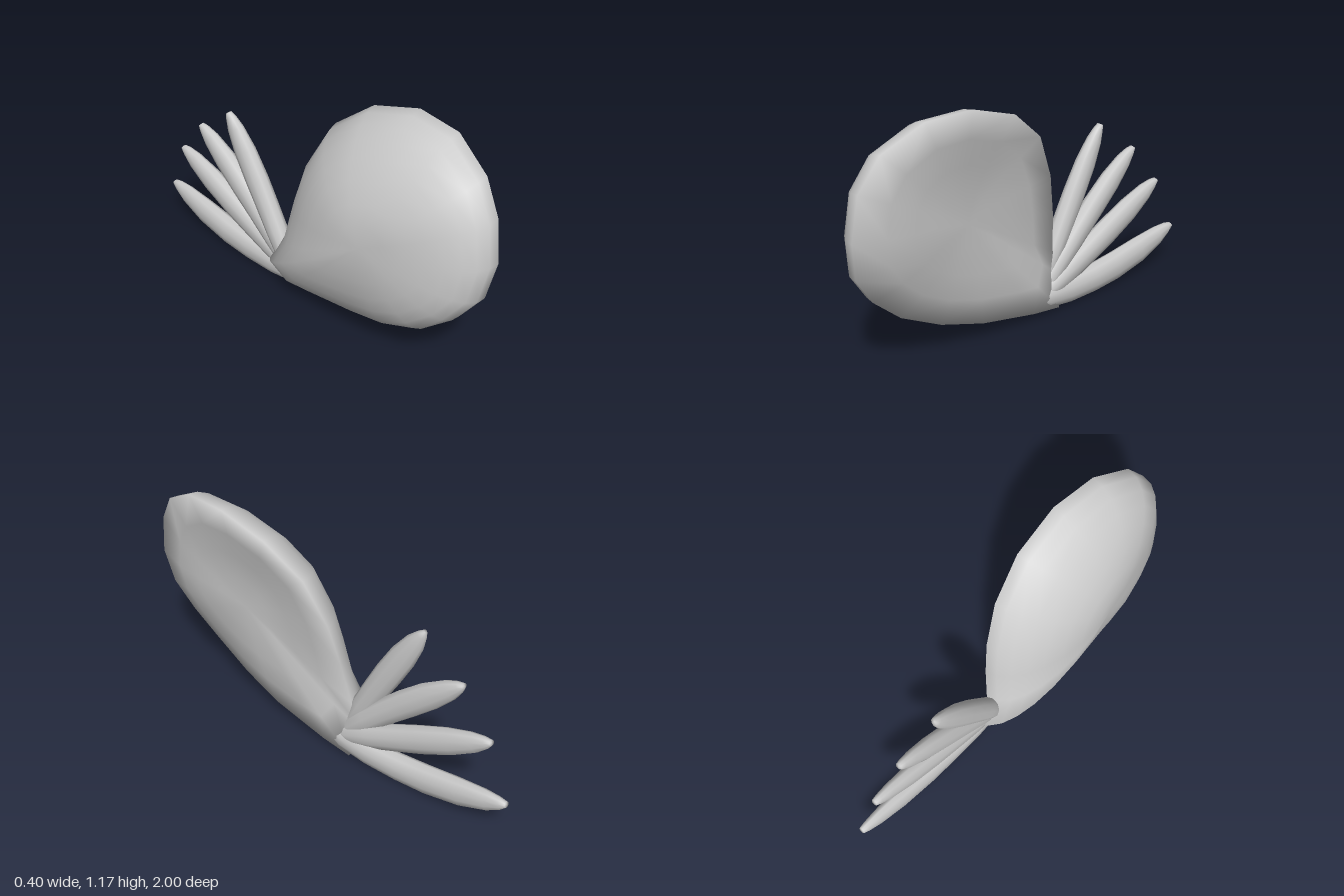
import * as THREE from 'three';

// Smooth closed skin over a list of equal-length rings, with a pole at each end.
function loft(name, rings) {
  const n = rings[0].length, pos = [], idx = [];
  rings.forEach(r => r.forEach(p => pos.push(p.x, p.y, p.z)));
  for (let i = 0; i < rings.length - 1; i++) {
    for (let j = 0; j < n; j++) {
      const a = i * n + j, b = i * n + (j + 1) % n;
      idx.push(a, b, b + n, a, b + n, a + n);
    }
  }
  [0, rings.length - 1].forEach((k, end) => {
    const c = new THREE.Vector3();
    rings[k].forEach(p => c.addScaledVector(p, 1 / n));
    const pole = pos.length / 3;
    pos.push(c.x, c.y, c.z);
    for (let j = 0; j < n; j++) {
      const a = k * n + j, b = k * n + (j + 1) % n;
      if (end) idx.push(a, b, pole); else idx.push(b, a, pole);
    }
  });
  // Turn the faces outward when the enclosed volume is negative
  let volume = 0;
  const at = i => new THREE.Vector3().fromArray(pos, i * 3);
  for (let i = 0; i < idx.length; i += 3) volume += at(idx[i]).dot(at(idx[i + 1]).cross(at(idx[i + 2])));
  if (volume < 0) idx.reverse();
  const geo = new THREE.BufferGeometry();
  geo.setAttribute('position', new THREE.Float32BufferAttribute(pos, 3));
  geo.setIndex(idx);
  geo.computeVertexNormals();
  const mesh = new THREE.Mesh(geo, new THREE.MeshStandardMaterial({ color: 0xcccccc }));
  mesh.name = name;
  return mesh;
}

// Teardrop pad: a cupped rim, domed deeply on the outside and gently on the inside
function makePad() {
  const rim = [ // x, y, z
    [0.085, 0.31, -0.15], [0.115, 0.53, -0.11], [0.14, 0.73, -0.06], [0.17, 0.95, 0.05],
    [0.19, 1.1, 0.24], [0.175, 1.175, 0.48], [0.125, 1.165, 0.7], [0.055, 1.06, 0.88],
    [0.015, 0.91, 0.97], [0, 0.71, 1], [-0.025, 0.53, 0.97], [-0.04, 0.39, 0.87],
    [-0.04, 0.26, 0.72], [0, 0.16, 0.52], [0.05, 0.095, 0.3], [0.1, 0.04, 0],
    [0.12, 0.02, -0.16], [0.08, 0.14, -0.24],
  ];
  const centre = [0.05, 0.66, 0.45];
  const ring = (r, depth) => {
    const lift = depth * Math.sqrt(1 - Math.pow(r, 2.2));
    return rim.map(p => new THREE.Vector3(
      centre[0] + (p[0] - centre[0]) * r * r + lift,
      centre[1] + (p[1] - centre[1]) * r,
      centre[2] + (p[2] - centre[2]) * r));
  };
  const outer = [0.2, 0.38, 0.56, 0.71, 0.83, 0.92, 0.98, 1].map(r => ring(r, -0.25));
  const inner = [0.74, 0.5, 0.25].map(r => ring(r, 0.045));
  const pad = loft('teardropPad', [...outer, ...inner]);
  // Shade the rim as a soft rounded edge
  const n = rim.length, first = (outer.length - 1) * n;
  for (let j = 0; j < n; j++) {
    const [, y0, z0] = rim[(j + n - 1) % n], [, y1, z1] = rim[(j + 1) % n];
    const v = new THREE.Vector3(0.15, z1 - z0, y0 - y1).setX(0.15 * Math.hypot(z1 - z0, y1 - y0)).normalize();
    pad.geometry.attributes.normal.setXYZ(first + j, v.x, v.y, v.z);
  }
  return pad;
}

// Flattened, slightly curved blade along a quadratic path, thicker at its root
function makeFeather(name, root, bend, tip, width) {
  const path = new THREE.QuadraticBezierCurve3(
    new THREE.Vector3(...root), new THREE.Vector3(...bend), new THREE.Vector3(...tip));
  const profile = [[0, 0.3], [0.1, 0.78], [0.25, 0.9], [0.42, 0.95], [0.58, 1], [0.76, 0.95], [0.9, 0.7], [0.97, 0.4], [1, 0.16]];
  const rings = profile.map(([t, w]) => {
    const c = path.getPoint(t), along = path.getTangent(t);
    const across = new THREE.Vector3(1, 0, 0).cross(along).normalize();
    const flat = along.clone().cross(across);
    const half = 0.012 + 0.026 * w + 0.02 * (1 - t) * w;
    return Array.from({ length: 10 }, (_, j) => {
      const a = j / 10 * Math.PI * 2;
      return c.clone().addScaledVector(across, Math.cos(a) * w * width)
        .addScaledVector(flat, Math.sin(a) * half);
    });
  });
  return loft(name, rings);
}

export function createModel() {
  const group = new THREE.Group();
  group.name = 'fannedWing';
  group.add(makePad());
  // Four blades fanned from the narrow end of the pad
  [
    [[0.045, 0.13, -0.11], [0.065, 0.49, -0.29], [0.08, 0.85, -0.505], 0.066],
    [[0.06, 0.1, -0.09], [0.09, 0.41, -0.38], [0.12, 0.685, -0.725], 0.07],
    [[0.07, 0.085, -0.06], [0.11, 0.25, -0.46], [0.155, 0.475, -0.89], 0.074],
    [[0.07, 0.1, -0.01], [0.12, 0.02, -0.5], [0.185, 0.2, -1], 0.08],
  ].forEach((f, i) => group.add(makeFeather('feather' + (i + 1), ...f)));
  return group;
}
